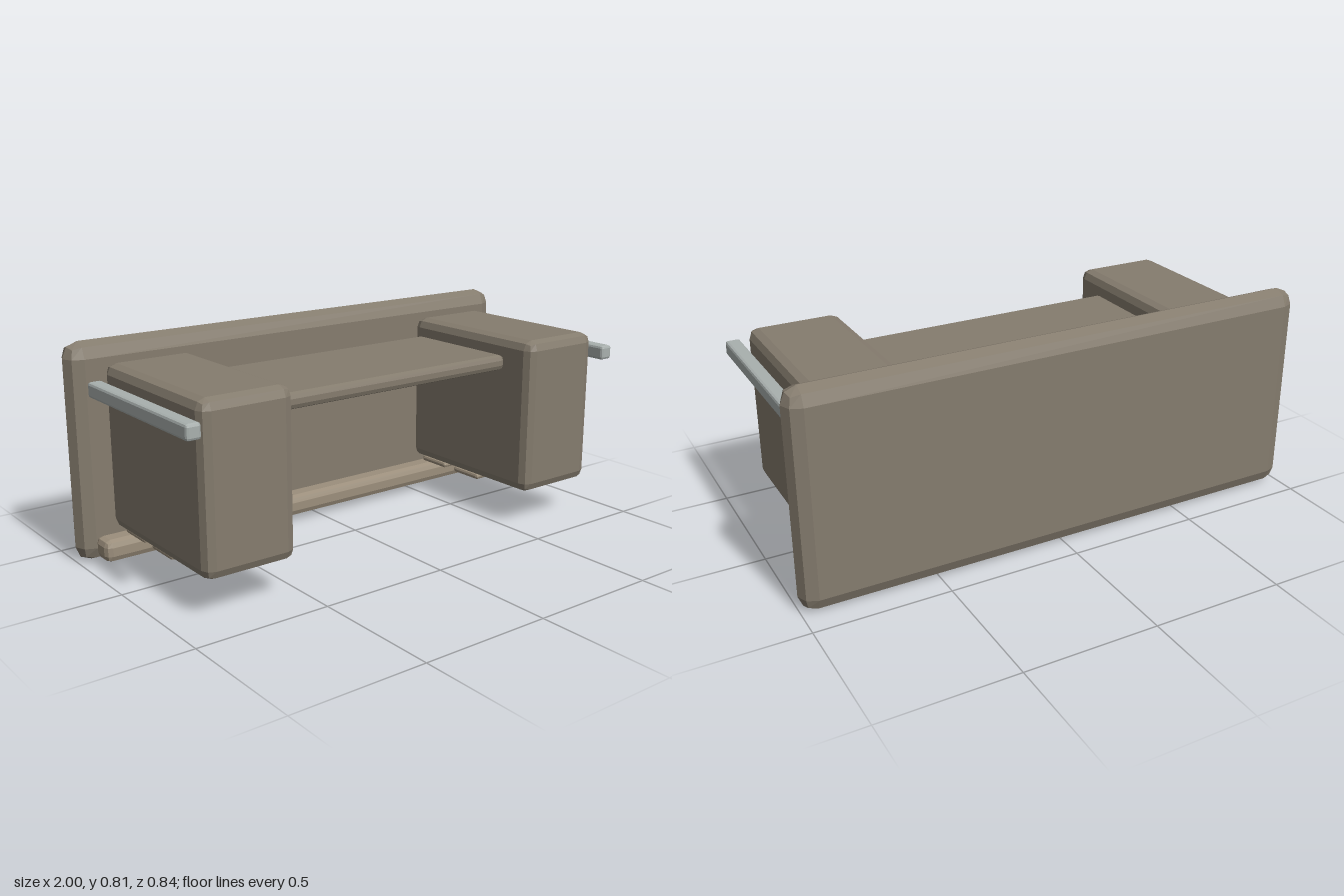
import * as THREE from 'three';
import { RoundedBoxGeometry } from 'three/addons/geometries/RoundedBoxGeometry.js';

const paint = (color) => new THREE.MeshStandardMaterial({ color, flatShading: true });

// Box with two-facet bevelled edges, given by its [min, max] on each axis
function block(name, [x0, x1], [y0, y1], [z0, z1], radius, material) {
  const geometry = new RoundedBoxGeometry(x1 - x0, y1 - y0, z1 - z0, 1, radius);
  const mesh = new THREE.Mesh(geometry, material);
  mesh.name = name;
  mesh.position.set((x0 + x1) / 2, (y0 + y1) / 2, (z0 + z1) / 2);
  return mesh;
}

export function createModel() {
  const desk = new THREE.Group();
  desk.name = 'desk';
  const body = paint(0x857c6e);
  const trim = paint(0x9c8f7c);
  const metal = paint(0xa9b0ae);
  const dark = paint(0x3a3d40);

  // Tall panel behind, worktop and the bar along the foot of the panel
  desk.add(
    block('backPanel', [-1, 1], [0, 0.812], [-0.42, -0.305], 0.0575, body),
    block('worktop', [-0.545, 0.545], [0.61, 0.67], [-0.25, 0.245], 0.02, body),
    block('footBar', [-0.945, 0.945], [0.022, 0.105], [-0.317, -0.217], 0.025, trim)
  );

  for (const side of [-1, 1]) {
    const label = side > 0 ? 'left' : 'right';
    const span = (a, b) => (side > 0 ? [a, b] : [-b, -a]);

    // Pedestal and the rail along its outer side
    desk.add(
      block(label + 'Pedestal', span(0.537, 0.885), [0.138, 0.74], [-0.292, 0.384], 0.037, body),
      block(label + 'Rail', span(0.903, 0.957), [0.631, 0.686], [-0.267, 0.42], 0.01, metal)
    );

    // Two plates under each pedestal, each with a small round pull
    for (const z of [0.004, -0.195]) {
      desk.add(block(label + 'Plate', span(0.575, 0.846), [0.109, 0.133], [z - 0.072, z + 0.072], 0.01, trim));
      const pull = new THREE.Mesh(new THREE.CylinderGeometry(0.0065, 0.0065, 0.08, 8), dark);
      pull.name = label + 'Pull';
      pull.rotation.z = Math.PI / 2;
      pull.position.set(side * 0.71, 0.092, z);
      desk.add(pull);
    }
  }
  return desk;
}
